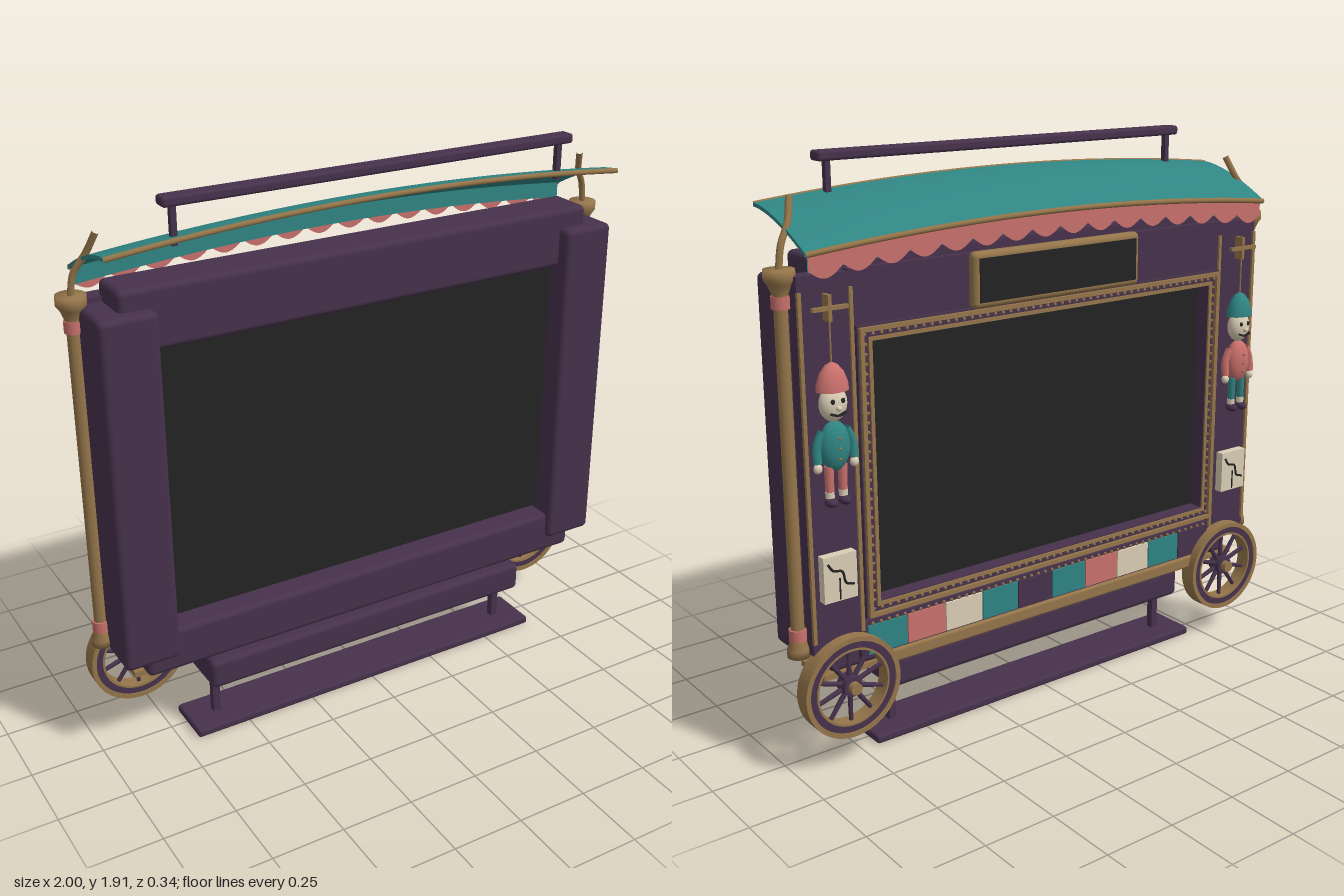
import * as THREE from 'three';
import { mergeGeometries } from 'three/addons/utils/BufferGeometryUtils.js';
import { RoundedBoxGeometry } from 'three/addons/geometries/RoundedBoxGeometry.js';

const mat = (name, color, side = THREE.FrontSide) => {
  const m = new THREE.MeshStandardMaterial({ color, side });
  m.name = name;
  return m;
};

export function createModel() {
  const purple = mat('plum paint', 0x46314b);
  const gold = mat('old gold', 0x94754a);
  const teal = mat('teal', 0x2f8583, THREE.DoubleSide);
  const pink = mat('coral', 0xc9706c, THREE.DoubleSide);
  const cream = mat('cream', 0xd9cdb4);
  const black = mat('charcoal', 0x232323);

  const root = new THREE.Group();
  root.name = 'puppetTheatre';
  const add = (name, geo, m, x = 0, y = 0, z = 0, parent = root) => {
    const mesh = new THREE.Mesh(geo, m);
    mesh.name = name;
    mesh.position.set(x, y, z);
    parent.add(mesh);
    return mesh;
  };
  // Box given by its limits; r rounds the edges
  const box = (name, m, x0, x1, y0, y1, z0, z1, r = 0, parent = root) => {
    const s = [x1 - x0, y1 - y0, z1 - z0];
    const geo = r ? new RoundedBoxGeometry(...s, 3, r) : new THREE.BoxGeometry(...s);
    return add(name, geo, m, (x0 + x1) / 2, (y0 + y1) / 2, (z0 + z1) / 2, parent);
  };
  const tube = (name, m, pts, r, parent = root, n = 24) =>
    add(name, new THREE.TubeGeometry(new THREE.CatmullRomCurve3(pts.map(p => new THREE.Vector3(...p))), n, r, 8), m, 0, 0, 0, parent);
  const ball = (name, m, x, y, z, sx, sy, sz, parent) =>
    add(name, new THREE.SphereGeometry(1, 20, 14).scale(sx, sy, sz), m, x, y, z, parent);
  // Rectangular frame of width w, spanning z0..z1
  const rectPath = (p, hw, y0, y1) => {
    p.moveTo(-hw, y0); p.lineTo(hw, y0); p.lineTo(hw, y1); p.lineTo(-hw, y1); p.closePath();
    return p;
  };
  const frame = (name, m, hw, y0, y1, w, z0, z1) => {
    const s = rectPath(new THREE.Shape(), hw, y0, y1);
    s.holes.push(rectPath(new THREE.Path(), hw - w, y0 + w, y1 - w));
    return add(name, new THREE.ExtrudeGeometry(s, { depth: z1 - z0, bevelEnabled: false }), m, 0, 0, z0);
  };
  const beads = (name, pts, r) => add(name, mergeGeometries(pts.map(p =>
    new THREE.SphereGeometry(r, 6, 4).translate(...p))), gold);

  // Proscenium carcass and screen
  box('screen', black, -0.75, 0.75, 0.48, 1.44, -0.06, 0.05);
  box('topBeam', purple, -0.86, 0.86, 1.43, 1.635, -0.07, 0.09, 0.02);
  box('bottomBeam', purple, -0.86, 0.86, 0.31, 0.465, -0.08, 0.115, 0.02);
  box('backTopBoard', purple, -0.76, 0.76, 1.42, 1.59, -0.1, -0.03);
  box('backBottomBoard', purple, -0.76, 0.76, 0.34, 0.465, -0.1, -0.03);
  for (const s of [-1, 1]) {
    const side = new THREE.Group();
    side.name = s > 0 ? 'leftWing' : 'rightWing';
    root.add(side);
    add('sidePost', new RoundedBoxGeometry(0.19, 1.2, 0.19, 3, 0.02), purple, s * 0.845, 0.97, 0.04, side);
    add('backPanel', new THREE.BoxGeometry(0.19, 1.19, 0.06), purple, s * 0.835, 0.99, -0.07, side);
    for (const x of [0.755, 0.925]) add('panelTrim', new THREE.BoxGeometry(0.012, 1.1, 0.012), gold, s * x, 0.99, -0.102, side);

    // Turned column with coral bands
    const prof = [[0, 0.39], [0.036, 0.39], [0.036, 0.415], [0.026, 0.44], [0.021, 0.49], [0.021, 1.48],
      [0.024, 1.53], [0.036, 1.56], [0.047, 1.575], [0.047, 1.605], [0, 1.605]];
    add('column', new THREE.LatheGeometry(prof.map(p => new THREE.Vector2(...p)), 24), gold, s * 0.953, 0, -0.045, side);
    for (const y of [0.463, 1.508]) add('columnBand', new THREE.CylinderGeometry(0.028, 0.028, 0.038, 24), pink, s * 0.953, y, -0.045, side);
    tube('roofBracket', gold, [[s * 0.953, 1.6, -0.045], [s * 0.94, 1.67, -0.04], [s * 0.905, 1.73, -0.02], [s * 0.88, 1.8, 0.01]], 0.011, side);

    // Spoked wheel
    const wheel = new THREE.Group();
    wheel.name = 'wheel';
    wheel.position.set(s * 0.815, 0.275, -0.11);
    side.add(wheel);
    const ring = (r0, r1, d) => {
      const sh = new THREE.Shape().absarc(0, 0, r1, 0, Math.PI * 2);
      sh.holes.push(new THREE.Path().absarc(0, 0, r0, 0, Math.PI * 2, true));
      return new THREE.ExtrudeGeometry(sh, { depth: d, bevelEnabled: false, curveSegments: 32 }).translate(0, 0, -d / 2);
    };
    add('tyre', ring(0.154, 0.17, 0.06), gold, 0, 0, 0, wheel);
    add('rim', ring(0.13, 0.156, 0.05), purple, 0, 0, 0, wheel);
    add('rimLine', ring(0.124, 0.131, 0.054), gold, 0, 0, 0, wheel);
    for (let i = 0; i < 10; i++) {
      const a = i * Math.PI / 5;
      add('spoke', new THREE.CylinderGeometry(0.007, 0.009, 0.11, 8).translate(0, 0.075, 0), purple, 0, 0, 0, wheel).rotation.z = a;
    }
    add('hub', new THREE.CylinderGeometry(0.033, 0.033, 0.05, 20).rotateX(Math.PI / 2), purple, 0, 0, 0, wheel);
    add('hubCap', new THREE.CylinderGeometry(0.02, 0.02, 0.085, 16).rotateX(Math.PI / 2), gold, 0, 0, -0.004, wheel);

    // Hanging puppet: hat and legs in one colour, tunic in the other
    const [main, coat] = s > 0 ? [pink, teal] : [teal, pink];
    const pup = new THREE.Group();
    pup.name = 'puppet';
    pup.position.set(s * 0.842, 0, -0.128);
    side.add(pup);
    box('controlBar', gold, -0.06, 0.06, 1.485, 1.497, -0.012, 0.002, 0, pup);
    box('controlCross', gold, -0.006, 0.006, 1.45, 1.53, -0.008, 0.03, 0, pup);
    tube('string', gold, [[0, 1.49, 0], [0, 1.41, 0], [0, 1.32, 0]], 0.003, pup, 4);
    const hat = [[0.052, 1.245], [0.05, 1.268], [0.038, 1.3], [0.02, 1.322], [0, 1.332]];
    add('hat', new THREE.LatheGeometry(hat.map(p => new THREE.Vector2(...p)), 20).scale(1, 1, 0.75), main, 0, 0, 0, pup);
    ball('head', cream, 0, 1.205, 0, 0.045, 0.055, 0.034, pup);
    ball('nose', cream, 0, 1.197, -0.034, 0.009, 0.009, 0.012, pup);
    ball('body', coat, 0, 1.075, 0, 0.05, 0.078, 0.034, pup);
    for (let i = 0; i < 3; i++) ball('button', gold, 0, 1.04 + i * 0.032, -0.033, 0.005, 0.005, 0.004, pup);
    for (const t of [-1, 1]) {
      ball('eye', black, t * 0.017, 1.218, -0.031, 0.007, 0.008, 0.004, pup);
      add('moustache', new THREE.BoxGeometry(0.026, 0.007, 0.006), black, t * 0.014, 1.178, -0.032, pup).rotation.z = t * 0.35;
      tube('arm', coat, [[t * 0.04, 1.125, 0], [t * 0.06, 1.08, 0], [t * 0.062, 1.03, -0.005]], 0.014, pup, 8);
      ball('hand', cream, t * 0.062, 1.015, -0.005, 0.014, 0.016, 0.013, pup);
      add('leg', new THREE.CylinderGeometry(0.015, 0.013, 0.1, 12), main, t * 0.023, 0.965, 0, pup);
      add('shin', new THREE.CylinderGeometry(0.014, 0.014, 0.02, 12), cream, t * 0.023, 0.925, 0, pup);
      ball('shoe', purple, t * 0.024, 0.902, -0.006, 0.018, 0.015, 0.026, pup);
    }

    // Cream card with zigzag marks
    const card = new THREE.Group();
    card.name = 'card';
    card.position.set(s * 0.842, 0.652, -0.115);
    side.add(card);
    box('sheet', cream, -0.058, 0.058, -0.075, 0.075, -0.016, 0.016, 0, card);
    const marks = [[-0.045, -0.03], [-0.018, -0.02], [-0.005, 0.02], [0.025, 0.028], [0.045, 0.055]];
    tube('zigzag', black, marks.map(([x, y]) => [x, y, -0.017]), 0.004, card);
    box('fold', black, 0.002, 0.006, -0.07, 0.0, -0.019, -0.015, 0, card);

    // Supports of the top rail and foot
    box('railPost', purple, s * 0.69 - 0.009, s * 0.69 + 0.009, 1.76, 1.89, 0.115, 0.135);
    box('footPost', purple, s * 0.59 - 0.013, s * 0.59 + 0.013, 0.02, 0.2, 0.008, 0.034);
  }
  box('topRail', purple, -0.73, 0.73, 1.88, 1.912, 0.1, 0.155, 0.01);
  box('lowerBox', purple, -0.635, 0.635, 0.18, 0.287, -0.065, 0.115, 0.02);
  box('footPlate', purple, -0.695, 0.695, 0, 0.03, -0.07, 0.11, 0.01);
  box('ledge', gold, -0.89, 0.89, 0.295, 0.315, -0.085, 0.065);
  box('ledgeLip', gold, -0.7, 0.7, 0.3, 0.345, -0.112, -0.085, 0.008);

  // Framed stage opening on the back
  frame('stageFrame', purple, 0.745, 0.482, 1.42, 0.05, -0.115, -0.05);
  frame('outerMoulding', gold, 0.74, 0.485, 1.415, 0.014, -0.127, -0.11);
  frame('innerMoulding', gold, 0.708, 0.517, 1.383, 0.012, -0.121, -0.11);
  const dots = [];
  for (let i = 0; i <= 48; i++) {
    const x = -0.72 + i * 0.03;
    dots.push([x, 0.51, -0.116], [x, 1.392, -0.116], [x, 0.457, -0.106]);
  }
  for (let i = 1; i < 29; i++) for (const s of [-1, 1]) dots.push([s * 0.717, 0.51 + i * 0.0304, -0.116]);
  beads('beading', dots, 0.006);

  // Patchwork tiles
  const patch = [teal, pink, cream, teal, purple];
  for (let i = 0; i < 10; i++) {
    const x = 0.74 - i * 0.148;
    box('patchTile', patch[i % 5], x - 0.146, x - 0.002, 0.352, 0.45, -0.108, -0.099);
  }

  // Sign board with rounded gold border
  add('signBorder', new RoundedBoxGeometry(0.68, 0.18, 0.04, 3, 0.018), gold, 0, 1.51, -0.125);
  add('signFace', new THREE.BoxGeometry(0.64, 0.14, 0.006), black, 0, 1.51, -0.145);

  // Awning curved in both directions
  const roofY = (x, z) => 1.812 - 0.11 * Math.pow(Math.max(0, (0.16 - z) / 0.305), 1.6) - 0.048 * (x / 0.92) ** 2;
  const roof = new THREE.BoxGeometry(1.84, 0.012, 0.305, 32, 1, 10);
  const p = roof.attributes.position;
  for (let i = 0; i < p.count; i++) {
    const z = p.getZ(i) + 0.0075;
    p.setXYZ(i, p.getX(i), p.getY(i) + roofY(p.getX(i), z), z);
  }
  roof.computeVertexNormals();
  add('awning', roof, teal);
  const xs = Array.from({ length: 17 }, (_, i) => -0.92 + i * 0.115);
  for (const z of [-0.145, 0.16]) tube('awningTrim', gold, xs.map(x => [x, roofY(x, z), z]), 0.009, root, 48);

  // Valance: teal band in front of coral scallops
  const strip = (name, m, z, low) => {
    const sh = new THREE.Shape();
    const n = 192, y = x => roofY(x, -0.145);
    sh.moveTo(-0.91, y(0.91));
    for (let i = 0; i <= n; i++) {
      const x = -0.91 + 1.82 * i / n;
      sh.lineTo(x, y(x) - low(i / n));
    }
    for (let i = n; i > 0; i -= 4) {
      const x = -0.91 + 1.82 * i / n;
      sh.lineTo(x, y(x));
    }
    add(name, new THREE.ShapeGeometry(sh), m, 0, 0, z);
  };
  strip('valanceBand', teal, -0.136, () => 0.055);
  strip('valanceScallops', pink, -0.142, t => 0.05 + 0.03 * Math.abs(Math.sin(t * Math.PI * 16)));
  return root;
}
